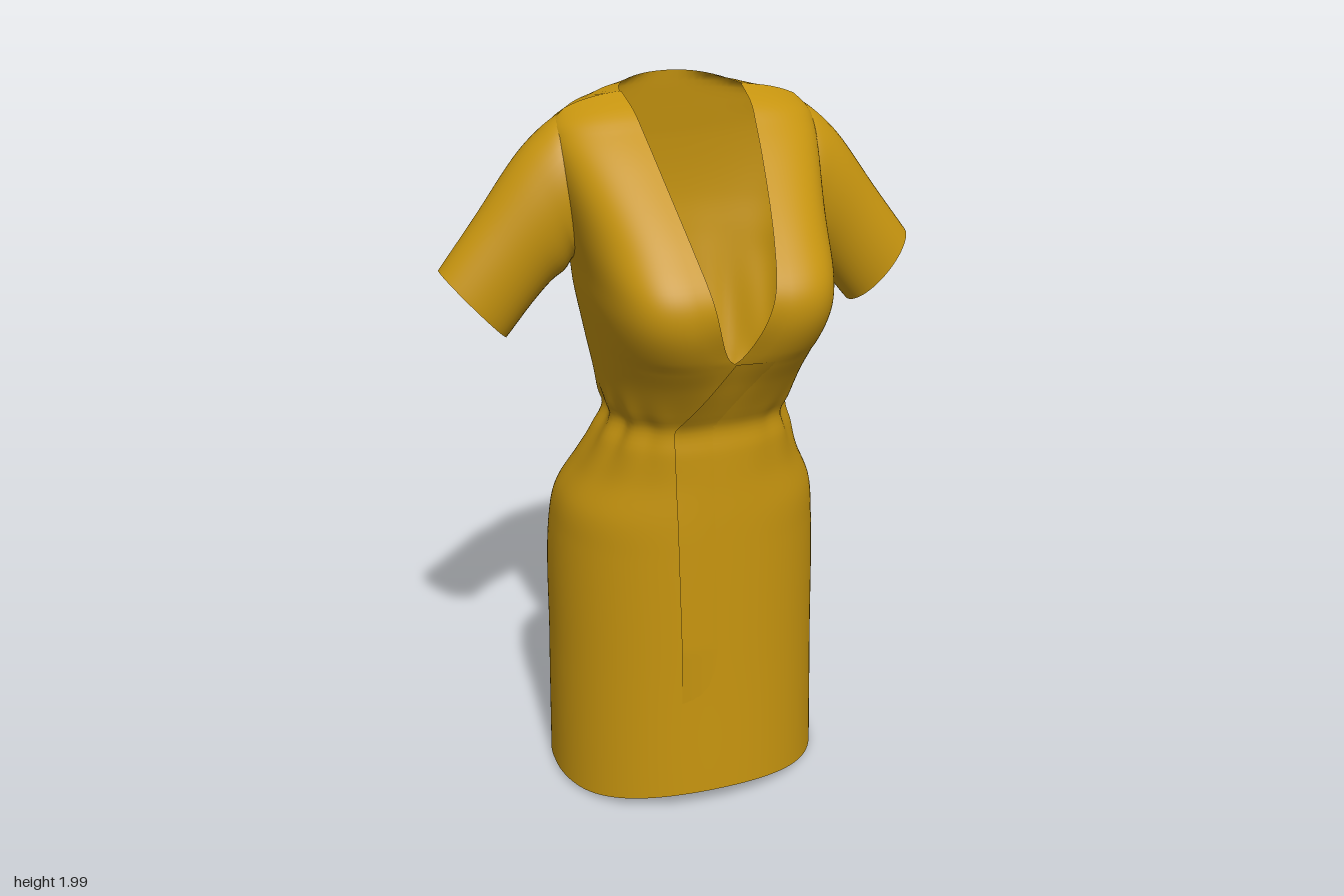
import * as THREE from 'three';
import { mergeVertices } from 'three/addons/utils/BufferGeometryUtils.js';

const fabric = new THREE.MeshStandardMaterial({ color: 0xc6940f, roughness: 0.8, side: THREE.DoubleSide });

// Cross-sections: half width, front z, back z, side z, back-curve width, shoulder drop
const heights = [0.02, 0.4, 0.8, 0.9, 1.0, 1.1, 1.17, 1.21, 1.3, 1.4, 1.5, 1.57, 1.66, 1.82, 1.9, 1.95, 1.98];
const sections = [
  0.392, 0.22, -0.367, -0.13, 0.392, 0,
  0.383, 0.212, -0.364, -0.13, 0.383, 0,
  0.370, 0.205, -0.360, -0.12, 0.370, 0,
  0.354, 0.203, -0.325, -0.10, 0.354, 0,
  0.306, 0.20, -0.275, -0.07, 0.306, 0,
  0.262, 0.198, -0.215, -0.03, 0.262, 0,
  0.236, 0.195, -0.175, -0.02, 0.236, 0,
  0.250, 0.215, -0.183, -0.02, 0.250, 0,
  0.266, 0.27, -0.203, -0.03, 0.266, 0,
  0.282, 0.335, -0.222, -0.05, 0.282, 0,
  0.298, 0.37, -0.236, -0.07, 0.298, 0,
  0.304, 0.362, -0.245, -0.08, 0.304, 0,
  0.318, 0.295, -0.252, -0.10, 0.318, 0,
  0.345, 0.135, -0.245, -0.11, 0.345, 0.005,
  0.347, 0.045, -0.235, -0.11, 0.345, 0.02,
  0.335, -0.02, -0.228, -0.105, 0.310, 0.035,
  0.305, -0.10, -0.225, -0.10, 0.158, 0.035,
];
const spline = new THREE.CubicInterpolant(heights, sections, 6);
const bell = (d, r) => Math.exp(-((d / r) ** 2));
const { smoothstep, lerp } = THREE.MathUtils;

function section(y) {
  const [w, zf, zb, zs, wb, drop] = spline.evaluate(y);
  const neck = y <= 1.38 ? 0 : 0.158 * ((y - 1.38) / 0.6) ** 0.6;
  // the bust is boxier in plan than the skirt
  const n = lerp(2.1, 2.5, smoothstep(y, 1, 1.25)) + 1.1 * bell(y - 1.5, 0.17);
  return { y, w, zf, zb, zs, wb, drop, neck, n };
}

// Front panel depth, with a hollow between the two sides of the bust
function frontZ(x, s) {
  const t = Math.min(1, Math.max(0, (Math.abs(x) - s.neck) / (s.w - s.neck)));
  const hollow = 0.03 * bell(s.y - 1.44, 0.14) * bell(x, 0.07);
  return s.zs + (s.zf - s.zs) * (1 - t ** s.n) ** (1 / s.n) - hollow;
}

// Point on one half: u = 0 at the front opening, 1 at the centre back
function bodyPoint(u, s, side) {
  const front = u <= 0.5;
  const a = Math.min(u, 1 - u) * Math.PI;
  // the skirt is fuller at the right of the back
  const nb = lerp(side < 0 ? 2.9 : 2.1, 2.5, smoothstep(s.y, 0.85, 1.2));
  const k = Math.sin(a) ** (2 / (front ? s.n : nb));
  let x, z, y = s.y;
  if (front) {
    x = s.neck + (s.w - s.neck) * k;
    z = frontZ(x, s);
  } else {
    x = s.w * k;
    const t = Math.min(1, x / s.wb);
    z = s.zs + (s.zb - s.zs) * (1 - t ** nb) ** (1 / nb);
    y += 0.02 * (1 - t * t) * smoothstep(s.y, 1.85, 1.98);
    // long soft folds up the back
    z += 0.007 * Math.cos(x * 55) * bell(s.y - 1.33, 0.16);
  }
  // gathers radiating from the waist
  const gather = 0.035 * Math.cos(u * 44 + side) * bell(s.y - 1.16, s.y > 1.16 ? 0.07 : 0.1);
  const r = 1 + gather * (front ? k * k : Math.min(1, 5 * (1 - u)));
  x *= r;
  z = s.zs + (z - s.zs) * r;
  y -= s.drop * (x / s.w) ** 4;
  // hem rises towards the front
  const low = 1 - smoothstep(s.y, 0.02, 0.5);
  y += low * (z > 0 ? 0.048 * (z / 0.22) ** 2 : 0.03 * z);
  return [side * x, y, z];
}

// Mesh from a grid of points: u along a row, v up the rows
function gridMesh(name, cols, rows, point) {
  const pos = [], index = [];
  for (let j = 0; j <= rows; j++) {
    for (let i = 0; i <= cols; i++) {
      pos.push(...point(i / cols, j / rows));
      if (i < cols && j < rows) {
        const a = j * (cols + 1) + i, b = a + cols + 1;
        index.push(a, a + 1, b, a + 1, b + 1, b);
      }
    }
  }
  let geo = new THREE.BufferGeometry();
  geo.setAttribute('position', new THREE.Float32BufferAttribute(pos, 3));
  geo.setIndex(index);
  geo = mergeVertices(geo, 1e-5);
  geo.computeVertexNormals();
  const mesh = new THREE.Mesh(geo, fabric);
  mesh.name = name;
  return mesh;
}

// Sleeve loops from the armhole out: centre x, centre y, lean angle, half height, half depth
const sleeveLoops = [
  [0.295, 1.772, 0.10, 0.163, 0.105],
  [0.325, 1.742, 0.25, 0.160, 0.118],
  [0.370, 1.693, 0.42, 0.152, 0.113],
  [0.458, 1.593, 0.60, 0.130, 0.098],
  [0.560, 1.467, 0.71, 0.123, 0.088],
];
const sleeveSpline = new THREE.CubicInterpolant([0, 1, 2, 3, 4], sleeveLoops.flat(), 5);

function sleeve(name, side) {
  return gridMesh(name, 40, 28, (u, v) => {
    const [cx, cy, lean, h, d] = sleeveSpline.evaluate(v * 4);
    const a = -side * u * Math.PI * 2;
    const up = Math.cos(a) * h;
    // small creases under the arm
    const crease = 0.008 * Math.sin(v * 30) * bell(v - 0.35, 0.25) * Math.max(0, -Math.cos(a));
    return [side * (cx + up * Math.sin(lean)), cy + up * Math.cos(lean) + crease, -0.104 + Math.sin(a) * d];
  });
}

export function createModel() {
  const group = new THREE.Group();
  group.name = 'wrapDress';

  // Skirt and bodice in one cloth, open in a V at the chest
  group.add(gridMesh('dressBody', 120, 140, (u, v) => {
    const s = section(0.02 + 1.96 * v);
    // run from the front opening over the left side, the back and the right side
    return u <= 0.5 ? bodyPoint(u * 2, s, 1) : bodyPoint((1 - u) * 2, s, -1);
  }));

  // Overlapping front edge that crosses the waist and runs down the skirt
  group.add(gridMesh('wrapEdge', 8, 70, (u, v) => {
    const y = 0.36 + 1.02 * v;
    const edge = y > 1.17 ? -0.12 * (1.38 - y) / 0.21 : -0.105 - 0.015 * (y - 0.36) / 0.81;
    const x = edge + 0.12 * u;
    const lift = 0.011 * Math.min(1, v * 6) * (1 - u) - 0.002 * u;
    return [x, y, frontZ(x, section(y)) + lift];
  }));

  group.add(sleeve('leftSleeve', 1), sleeve('rightSleeve', -1));
  return group;
}
